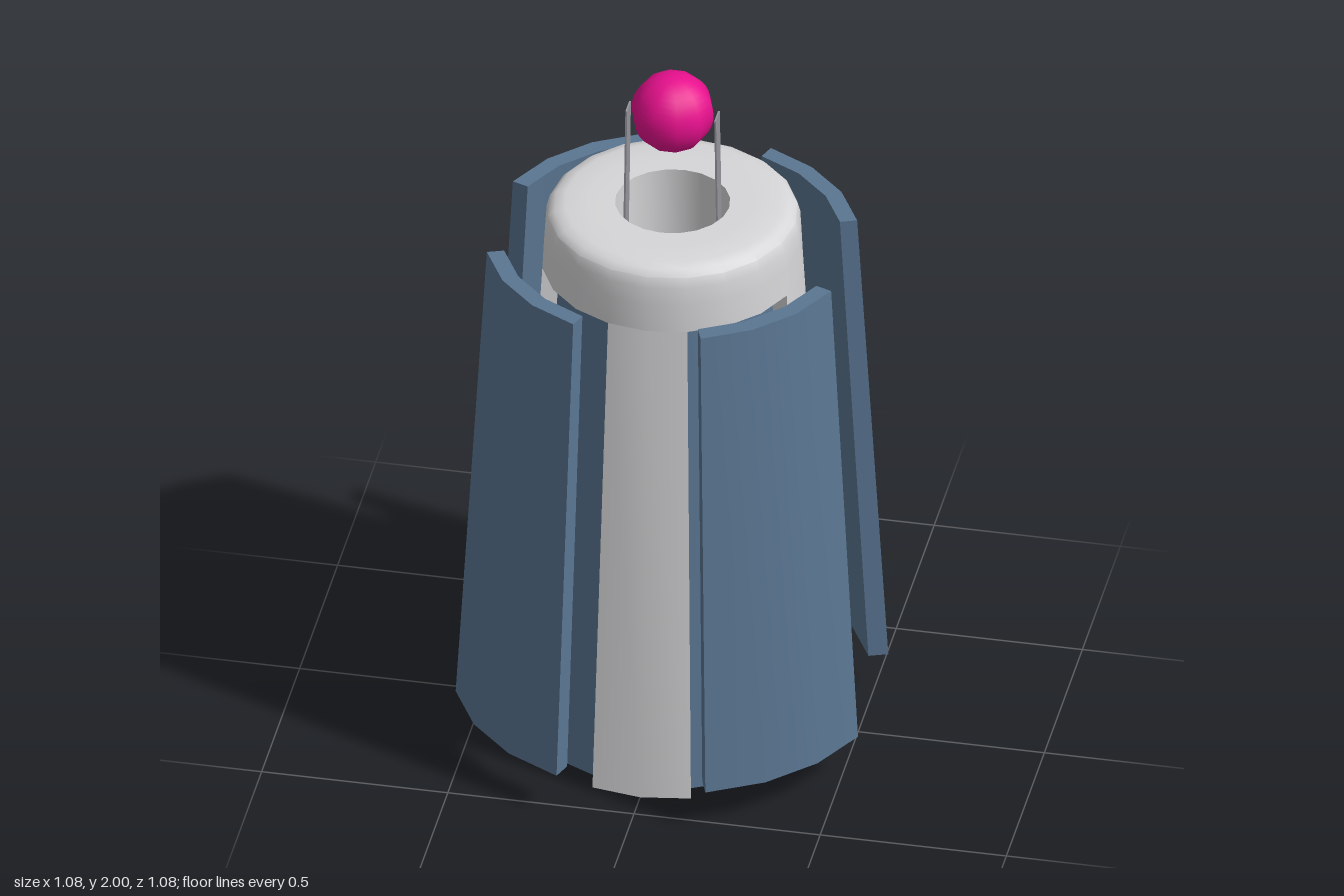
import * as THREE from 'three';
import { mergeGeometries, toCreasedNormals } from 'three/addons/utils/BufferGeometryUtils.js';

const DEG = Math.PI / 180;
const mat = (name, color) =>
  new THREE.MeshStandardMaterial({ name, color, side: THREE.DoubleSide });

// Surface turned around y; angles in degrees, measured from +z toward +x
function turned(profile, sides, start = 0, sweep = 360) {
  const pts = profile.map(([r, y]) => new THREE.Vector2(r, y));
  return toCreasedNormals(new THREE.LatheGeometry(pts, sides, start * DEG, sweep * DEG), 0.6);
}

// Flat radial wall with four [radius, y] corners, standing at one angle
function radialWall(corners, angle, flip) {
  const s = Math.sin(angle * DEG), c = Math.cos(angle * DEG);
  const order = flip ? [0, 2, 1, 0, 3, 2] : [0, 1, 2, 0, 2, 3];
  const pos = order.flatMap((i) => [corners[i][0] * s, corners[i][1], corners[i][0] * c]);
  const g = new THREE.BufferGeometry();
  g.setAttribute('position', new THREE.Float32BufferAttribute(pos, 3));
  g.setAttribute('uv', new THREE.Float32BufferAttribute(new Array(12).fill(0), 2));
  g.computeVertexNormals();
  return g;
}

export function createModel() {
  const shell = mat('light grey shell', 0xd6d6d8);
  const blue = mat('slate blue panel', 0x5a7692);
  const pink = mat('magenta ball', 0xe8108e);
  const steel = mat('grey metal', 0x94949b);

  const model = new THREE.Group();
  const core = new THREE.Group();
  core.name = 'core';
  core.position.z = -0.008;
  model.add(core);
  const add = (parent, name, geometry, material) => {
    const mesh = new THREE.Mesh(geometry, material);
    mesh.name = name;
    parent.add(mesh);
    return mesh;
  };

  // Rounded cap with the centre bore running down to the base
  add(core, 'cap', turned([
    [0.345, 1.42], [0.341, 1.5], [0.338, 1.55], [0.33, 1.58], [0.313, 1.596],
    [0.285, 1.603], [0.22, 1.605], [0.152, 1.605],
  ], 20), shell);
  add(core, 'bore', turned([[0.152, 1.605], [0.152, 0]], 20), shell);

  // Four tapering ribs, recessed panels between them, and ledges above the panels
  const side = [[0.38, 0], [0.428, 0], [0.345, 1.42], [0.3, 1.42]];
  for (let i = 0; i < 4; i++) {
    const a = i * 90;
    add(core, 'rib', mergeGeometries([
      turned([[0.428, 0], [0.345, 1.42]], 2, a - 18, 36),
      radialWall(side, a - 18, true),
      radialWall(side, a + 18, false),
    ]), shell);
    add(core, 'recessedPanel', turned([[0.38, 0], [0.3, 1.42]], 3, a + 18, 54), blue);
    add(core, 'ledge', turned([[0.3, 1.42], [0.345, 1.42]], 3, a + 18, 54), shell);
  }

  // Four detached, leaning outer plates
  const plate = [[0.523, 0.12], [0.576, 0.12], [0.493, 1.5], [0.447, 1.5]];
  for (let i = 0; i < 4; i++) {
    const a = i * 90 + 20.3;
    add(model, 'outerPlate', mergeGeometries([
      turned([...plate, plate[0]], 3, a, 49.4),
      radialWall(plate, a, true),
      radialWall(plate, a + 49.4, false),
    ]), blue);
  }

  // Thin prongs rising from the bore, leaning slightly toward the ball
  for (const s of [-1, 1]) {
    const prong = add(core, 'prong', new THREE.BoxGeometry(0.005, 0.89, 0.05), steel);
    prong.position.set(s * 0.126, 1.445, 0);
    prong.rotation.z = s * 0.015;
  }

  // Ball, open at the underside
  const ball = add(core, 'ball',
    new THREE.SphereGeometry(0.11, 10, 16, 0, Math.PI * 2, 0, 140 * DEG), pink);
  ball.position.y = 1.89;

  return model;
}
